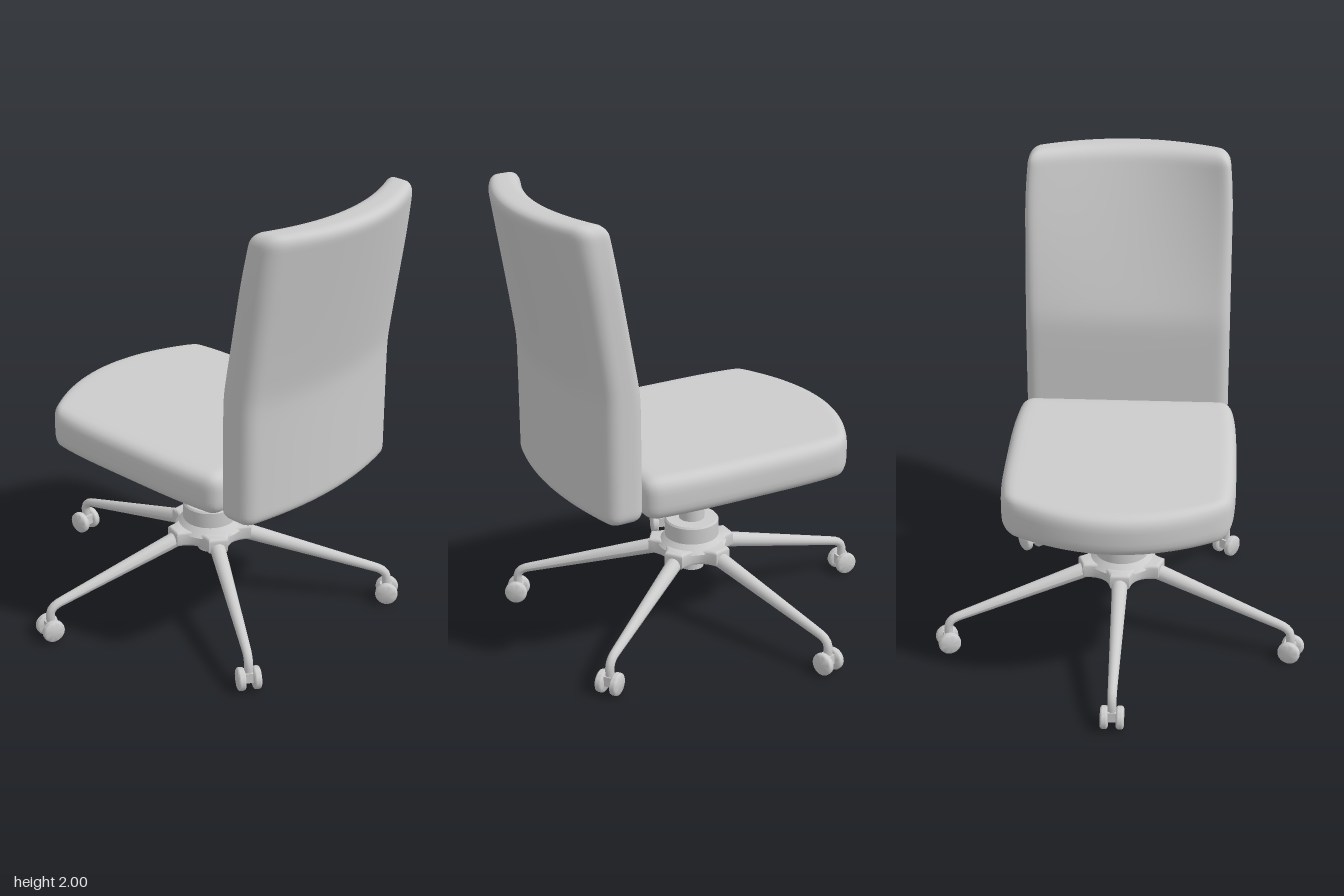
import * as THREE from 'three';
import { mergeVertices, toCreasedNormals } from 'three/addons/utils/BufferGeometryUtils.js';

const material = new THREE.MeshStandardMaterial({ color: 0xcccccc, side: THREE.DoubleSide });

function add(parent, name, geometry, x = 0, y = 0, z = 0) {
  const mesh = new THREE.Mesh(geometry, material);
  mesh.name = name;
  mesh.position.set(x, y, z);
  parent.add(mesh);
  return mesh;
}

// Upright cylinder between two heights
function disc(parent, name, rTop, rBottom, y0, y1) {
  return add(parent, name, new THREE.CylinderGeometry(rTop, rBottom, y1 - y0, 40), 0, (y0 + y1) / 2, 0);
}

// Rounded padded block, denser towards its edges, then reshaped by a rule
function cushion(size, radius, segments, reshape) {
  const raw = new THREE.BoxGeometry(2, 2, 2, ...segments);
  raw.deleteAttribute('uv');
  raw.deleteAttribute('normal');
  const geometry = mergeVertices(raw);
  const half = size.clone().multiplyScalar(0.5);
  const inner = half.clone().subScalar(radius);
  const p = new THREE.Vector3(), core = new THREE.Vector3();
  const pos = geometry.attributes.position;
  for (let i = 0; i < pos.count; i++) {
    p.fromBufferAttribute(pos, i);
    for (const a of ['x', 'y', 'z']) p[a] = half[a] * Math.sin(p[a] * Math.PI / 2);
    core.copy(p).clamp(inner.clone().negate(), inner);
    p.sub(core).setLength(radius).add(core);
    reshape(p);
    pos.setXYZ(i, p.x, p.y, p.z);
  }
  geometry.computeVertexNormals();
  return geometry;
}

// Seat: bowed front edge and gently tapering sides
function seatGeometry() {
  return cushion(new THREE.Vector3(0.98, 0.185, 1.11), 0.06, [36, 12, 36], (p) => {
    const front = THREE.MathUtils.clamp((0.3 - p.z) / 0.85, 0, 1);
    const x = p.x;
    p.x *= 1 - 0.055 * Math.pow(Math.abs(p.z) / 0.555, 4);
    p.z += 0.7 * x * x * front;
    p.y += 0.82;
    p.z -= 0.1;
  });
}

// Backrest: flat-fronted lumbar, upper half leaning back and wrapping
function backrestGeometry() {
  const depth = 0.16;
  return cushion(new THREE.Vector3(0.9, 1.27, depth), 0.05, [36, 48, 12], (p) => {
    p.y += 1.365;
    const d = (p.y - 1.28) / 0.72;
    const lean = (d + Math.sqrt(d * d + 0.003)) / 2;
    const bow = 1 - (p.x / 0.45) ** 2;
    const front = 0.452 + lean * (0.118 + 0.11 * bow);
    const back = 0.605 + 0.073 * bow + lean * (0.1 + 0.052 * bow);
    p.z = THREE.MathUtils.lerp(front, back, p.z / depth + 0.5);
    p.x *= 1 - 0.04 * Math.max(0, (p.y - 1.7) / 0.3) ** 2;
  });
}

// Leg: tapering tube running out along +z and turning down at its end
function legGeometry() {
  const path = new THREE.CurvePath();
  const v = (y, z) => new THREE.Vector3(0, y, z);
  path.add(new THREE.LineCurve3(v(0.328, 0.1), v(0.163, 0.735)));
  path.add(new THREE.QuadraticBezierCurve3(v(0.163, 0.735), v(0.15, 0.782), v(0.115, 0.782)));
  path.add(new THREE.LineCurve3(v(0.115, 0.782), v(0.06, 0.782)));
  const steps = 40, sides = 14;
  const geometry = new THREE.TubeGeometry(path, steps, 1, sides, false);
  const pos = geometry.attributes.position, p = new THREE.Vector3();
  for (let i = 0; i < pos.count; i++) {
    const t = Math.floor(i / (sides + 1)) / steps;
    const c = path.getPointAt(t);
    p.fromBufferAttribute(pos, i).sub(c).multiplyScalar(0.036 - 0.017 * Math.min(1, t / 0.88)).add(c);
    pos.setXYZ(i, p.x, p.y, p.z);
  }
  geometry.computeVertexNormals();
  return geometry;
}

// Wheel with softly rounded rims, axis along x
function wheelGeometry() {
  const w = 0.016, r = 0.049;
  const profile = [[0, -w], [r - 0.008, -w], [r - 0.002, -w + 0.004], [r, -w + 0.01],
    [r, w - 0.01], [r - 0.002, w - 0.004], [r - 0.008, w], [0, w]];
  const g = new THREE.LatheGeometry(profile.map(([a, b]) => new THREE.Vector2(a, b)), 28);
  return toCreasedNormals(g.rotateZ(Math.PI / 2), 0.7);
}

// Hub plate: five short arms joined by concave curves
function hubGeometry() {
  const shape = new THREE.Shape();
  const at = (r, a) => [r * Math.sin(a), r * Math.cos(a)];
  const step = Math.PI * 2 / 5, half = 0.22;
  shape.moveTo(...at(0.19, -half));
  for (let i = 0; i < 5; i++) {
    const a = i * step;
    shape.lineTo(...at(0.19, a + half));
    shape.quadraticCurveTo(...at(0.1, a + step / 2), ...at(0.19, a + step - half));
  }
  const g = new THREE.ExtrudeGeometry(shape, {
    depth: 0.045, bevelThickness: 0.012, bevelSize: 0.012, bevelOffset: -0.012, bevelSegments: 3, curveSegments: 10,
  });
  // Shape y points to -z, matching the rear-facing first leg
  return toCreasedNormals(g.rotateX(-Math.PI / 2), 0.6);
}

export function createModel() {
  const chair = new THREE.Group();
  chair.name = 'officeChair';

  add(chair, 'seat', seatGeometry());
  add(chair, 'backrest', backrestGeometry());

  // Central column
  disc(chair, 'seatMount', 0.114, 0.114, 0.645, 0.74);
  disc(chair, 'gasPost', 0.055, 0.055, 0.44, 0.66);
  const collar = [[0, 0.37], [0.117, 0.37], [0.117, 0.452], [0.111, 0.46], [0, 0.46]];
  add(chair, 'collar', toCreasedNormals(
    new THREE.LatheGeometry(collar.map(([r, y]) => new THREE.Vector2(r, y)), 40), 0.5));
  disc(chair, 'hubCone', 0.117, 0.15, 0.345, 0.382);
  disc(chair, 'postEnd', 0.052, 0.052, 0.225, 0.32);
  add(chair, 'hub', hubGeometry(), 0, 0.304, 0);

  // Five legs, each with a twin-wheel caster
  const leg = legGeometry(), wheel = wheelGeometry();
  for (let i = 0; i < 5; i++) {
    const arm = new THREE.Group();
    arm.name = 'legWithCaster' + (i + 1);
    arm.rotation.y = Math.PI + i * Math.PI * 2 / 5;
    add(arm, 'leg', leg);
    for (const s of [-1, 1]) add(arm, 'casterWheel', wheel, s * 0.033, 0.052, 0.785);
    const axle = add(arm, 'casterAxle', new THREE.CylinderGeometry(0.018, 0.018, 0.05, 16), 0, 0.052, 0.785);
    axle.rotation.z = Math.PI / 2;
    add(arm, 'casterHousing', new THREE.BoxGeometry(0.034, 0.045, 0.05), 0, 0.062, 0.78);
    chair.add(arm);
  }
  return chair;
}
